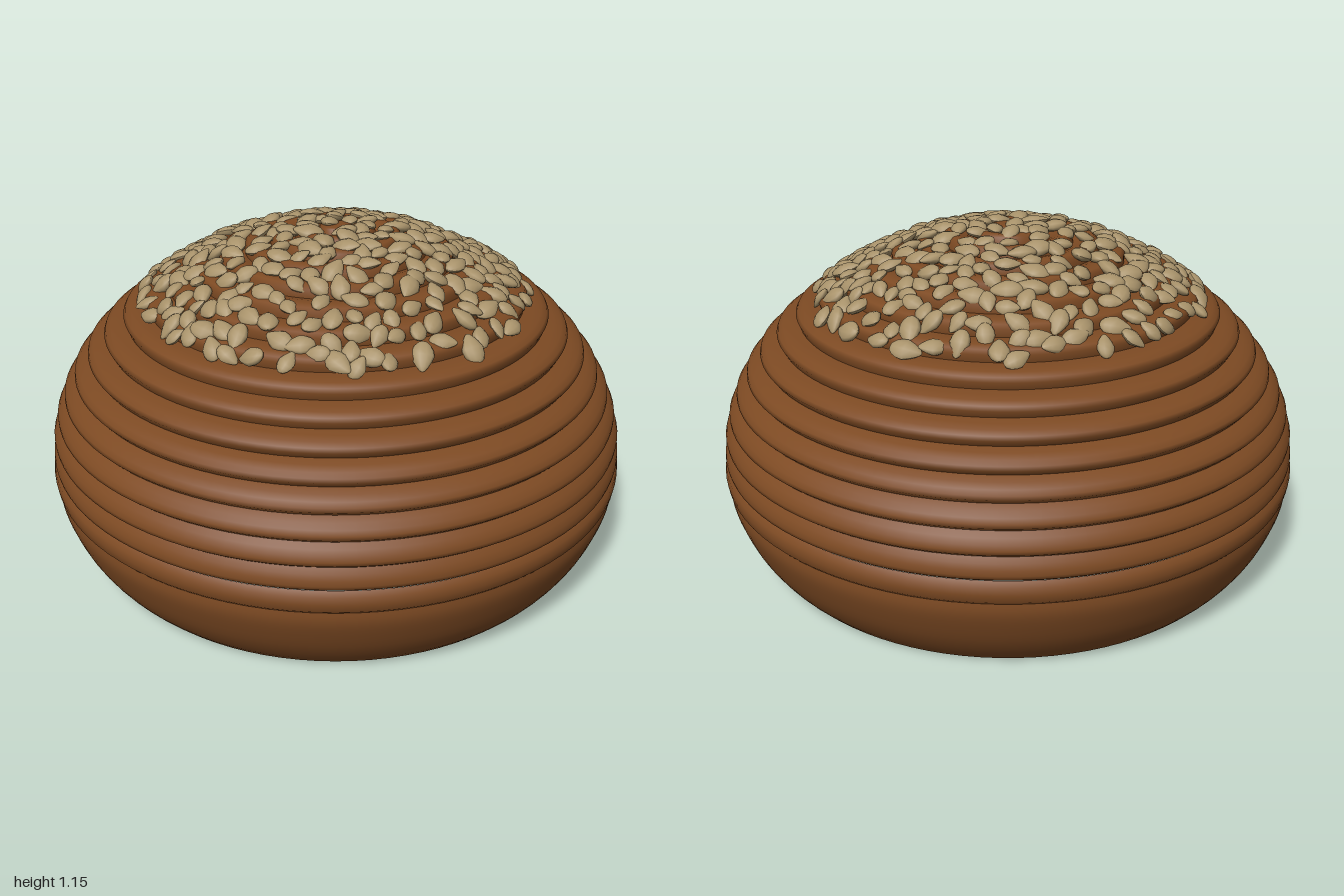
import * as THREE from 'three';
import { mergeGeometries } from 'three/addons/utils/BufferGeometryUtils.js';

const RINGS = 16, BASE = 0.36, HEIGHT = 0.765, RADIUS = 0.988;

// Point on the dome at angle t (0 = widest, PI/2 = top), pushed outward by off
function domeNormal(t) {
  return new THREE.Vector2(Math.cos(t), 1.2 * Math.sin(t)).normalize();
}
function domePoint(t, off) {
  const c = Math.max(0, Math.cos(t));
  const n = domeNormal(t);
  return new THREE.Vector2(
    Math.max(0, RADIUS * Math.pow(c, 1.2) + n.x * off),
    BASE + HEIGHT * Math.sin(t) + n.y * off);
}

function seeded(seed) {
  return () => {
    seed = (seed * 1664525 + 1013904223) % 4294967296;
    return seed / 4294967296;
  };
}

// Flattened teardrop lying along z, y is its thickness
function seedGeometry() {
  const g = new THREE.SphereGeometry(1, 10, 8);
  g.rotateX(Math.PI / 2);
  const p = g.attributes.position;
  for (let i = 0; i < p.count; i++) {
    const z = p.getZ(i);
    const k = z > 0 ? 1 - 0.45 * z : 1;
    p.setXYZ(i, p.getX(i) * k * 0.031, p.getY(i) * k * 0.018, z * 0.044);
  }
  g.computeVertexNormals();
  return g;
}

export function createModel() {
  const model = new THREE.Group();
  const crust = new THREE.MeshStandardMaterial({ color: 0x7d4a23, side: THREE.DoubleSide });
  crust.name = 'brown crust';
  const sesame = new THREE.MeshStandardMaterial({ color: 0xa8926a });
  sesame.name = 'pale seed';

  const lathe = (points, name) => {
    const mesh = new THREE.Mesh(new THREE.LatheGeometry(points, 96), crust);
    mesh.name = name;
    model.add(mesh);
  };

  // Smooth lower wall, open underneath
  const wall = new THREE.SplineCurve([
    [0.85, 0], [0.895, 0.05], [0.94, 0.12], [0.973, 0.2], [0.986, 0.25], [0.985, 0.285],
  ].map(([x, y]) => new THREE.Vector2(x, y)));
  lathe(wall.getPoints(14), 'lowerWall');

  // First ridge between wall and dome
  lathe([[0.985, 0.285], [0.994, 0.295], [0.998, 0.32], [0.995, 0.345], [0.98, 0.36]]
    .map(([x, y]) => new THREE.Vector2(x, y)), 'lowerRidge');

  // Stepped ridges, each widest near its lower edge
  const bump = [[0, -0.02], [0.12, 0.006], [0.28, 0.012], [0.5, 0.009], [0.75, -0.003], [1, -0.02]];
  const step = Math.PI / 2 / RINGS;
  const amp = (i) => 0.45 + 0.55 * Math.min(i / 5, 1);
  for (let i = 0; i < RINGS; i++) {
    const points = bump.map(([u, off]) => {
      const a = amp(i + (u === 1 ? 1 : 0));
      const top = i === RINGS - 1 && u > 0.2;
      return domePoint((i + u) * step, top ? 0.008 : off * a);
    });
    lathe(points, 'ridge' + (i + 1));
  }

  // Seeds scattered over the cap
  const rand = seeded(71);
  const base = seedGeometry();
  const seeds = [], placed = [];
  const up = new THREE.Vector3(0, 1, 0);
  for (let tries = 0; tries < 9000 && seeds.length < 300; tries++) {
    const r = 0.655 * Math.sqrt(rand());
    const a = rand() * Math.PI * 2;
    const t = Math.acos(Math.pow(r / RADIUS, 1 / 1.2));
    const p = domePoint(t, 0.008);
    const n2 = domeNormal(t);
    const pos = new THREE.Vector3(p.x * Math.cos(a), p.y, p.x * Math.sin(a));
    if (placed.some((q) => q.distanceTo(pos) < 0.052)) continue;
    placed.push(pos);
    const normal = new THREE.Vector3(n2.x * Math.cos(a), n2.y, n2.x * Math.sin(a));
    const q = new THREE.Quaternion().setFromUnitVectors(up, normal);
    q.multiply(new THREE.Quaternion().setFromEuler(new THREE.Euler(
      (rand() - 0.5) * 0.7, rand() * Math.PI * 2, (rand() - 0.5) * 0.5, 'YXZ')));
    const s = 0.85 + rand() * 0.35;
    seeds.push(base.clone().applyMatrix4(
      new THREE.Matrix4().compose(pos, q, new THREE.Vector3(s, s, s))));
  }
  const seedMesh = new THREE.Mesh(mergeGeometries(seeds), sesame);
  seedMesh.name = 'seeds';
  model.add(seedMesh);

  return model;
}
